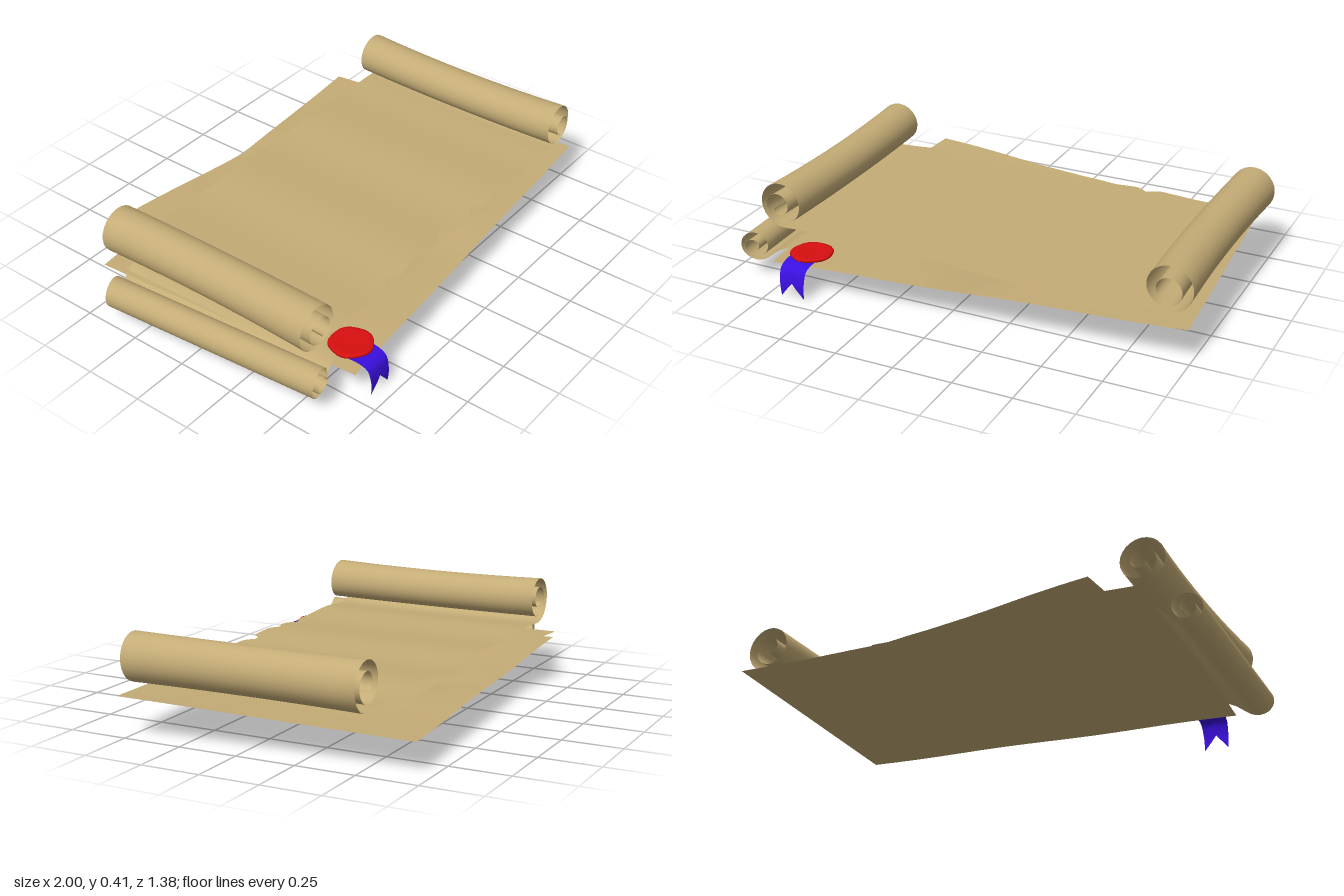
import * as THREE from 'three';

const parchment = new THREE.MeshStandardMaterial({ color: 0xc4ac76, side: THREE.DoubleSide });
parchment.name = 'parchment';
const sealRed = new THREE.MeshStandardMaterial({ color: 0xd80f10 });
sealRed.name = 'sealRed';
const ribbonBlue = new THREE.MeshStandardMaterial({ color: 0x3a0fe0, side: THREE.DoubleSide });
ribbonBlue.name = 'ribbonBlue';

// Smooth surface from a rule: fn(i, j) returns [x, y, z] for column i and row j
function surface(name, cols, rows, fn, material) {
  const pos = [], index = [];
  for (let i = 0; i <= cols; i++) {
    for (let j = 0; j <= rows; j++) pos.push(...fn(i, j));
  }
  for (let i = 0; i < cols; i++) {
    for (let j = 0; j < rows; j++) {
      const a = i * (rows + 1) + j, b = a + rows + 1;
      index.push(a, a + 1, b, b, a + 1, b + 1);
    }
  }
  const geo = new THREE.BufferGeometry();
  geo.setAttribute('position', new THREE.Float32BufferAttribute(pos, 3));
  geo.setIndex(index);
  geo.computeVertexNormals();
  const mesh = new THREE.Mesh(geo, material);
  mesh.name = name;
  return mesh;
}

// Spiral from its outer end inwards; side is -1 for a left roll, 1 for a right one
function spiral(side, cx, cy, rOut, rIn, startAngle, turns, steps) {
  const pts = [];
  for (let k = 0; k <= steps; k++) {
    const t = k / steps;
    const a = startAngle + t * turns * Math.PI * 2;
    const r = rOut - (rOut - rIn) * Math.pow(t, 1.3);
    pts.push({ x: cx + side * r * Math.cos(a), y: cy + r * Math.sin(a), t });
  }
  return pts;
}

// Torn nicks along the edges: [x, depth]
const frontNicks = [[-0.3, 0.035], [-0.15, 0.03], [0.07, 0.05], [0.28, 0.03]];
const backNicks = [[0.2, 0.02], [0.44, 0.035]];
const nick = (list, x) =>
  list.reduce((s, [nx, d]) => s + d * Math.max(0, 1 - Math.abs(x - nx) / 0.045), 0);

// Open scroll with a roll at each end
function topScroll() {
  const left = spiral(-1, -0.775, 0.31, 0.105, 0.02, -Math.PI / 2, 2.2, 54).reverse();
  const right = spiral(1, 0.89, 0.31, 0.105, 0.025, -Math.PI / 2, 2, 50);
  const flat = [];
  for (let k = 1; k < 66; k++) {
    const x = -0.775 + (1.665 * k) / 66;
    const fade = Math.min(1, k / 6, (66 - k) / 6);
    flat.push({ x, y: 0.205 + fade * (0.004 + 0.005 * Math.cos((2 * Math.PI * (x + 0.1)) / 0.535)), t: 0 });
  }
  const path = [...left, ...flat, ...right];
  const rows = 10;
  return surface('topScroll', path.length - 1, rows, (i, j) => {
    const p = path[i], v = j / rows, w = 2 * v - 1;
    const inRoll = p.t > 0 ? 1 : 0;
    const front = 0.5 + 0.04 * p.t - (inRoll ? 0 : nick(frontNicks, p.x));
    const back = -0.5 + (inRoll ? 0 : nick(backNicks, p.x));
    const y = p.y + Math.max(0, p.y - 0.25) * 0.04 * (w * w - 0.5);
    return [p.x * (1 + 0.016 * w * w), y, back + (front - back) * v];
  }, parchment);
}

// Slanted roll at the left, its tail tucked between the loose sheets
function sideRoll() {
  const roll = spiral(-1, 0, 0, 0.07, 0.018, -Math.PI * 0.72, 2, 48).reverse();
  const tail = [[0.09, -0.02], [0.13, -0.002], [0.2, 0], [0.3, 0]].map(([x, y]) => ({ x, y, t: 0 }));
  const path = [...roll, ...tail];
  const rows = 8;
  return surface('sideRoll', path.length - 1, rows, (i, j) => {
    const p = path[i], v = j / rows;
    const drop = 0.028 * (1 - v) * THREE.MathUtils.clamp((0.13 - p.x) / 0.1, 0, 1);
    return [
      -0.93 + 0.055 * v + p.x,
      0.143 - drop + p.y,
      -0.42 + 1.0 * v - 0.25 * p.x + 0.03 * p.t * v,
    ];
  }, parchment);
}

// Loose sheet between four corners (back left, back right, front right, front left) with a sag
function looseSheet(name, [bl, br, fr, fl], sag, ripple) {
  const cols = 16, rows = 10;
  const mix = (a, b, t) => a + (b - a) * t;
  return surface(name, cols, rows, (i, j) => {
    const u = i / cols, v = j / rows;
    const [x, y, z] = [0, 1, 2].map((k) => mix(mix(bl[k], br[k], u), mix(fl[k], fr[k], u), v));
    const dip = sag * Math.max(0, 1 - (Math.abs(x - 0.07) + Math.abs(z) * 0.8) / 0.5);
    const wave = ripple * Math.sin(u * Math.PI * 4) * Math.sin(Math.PI * (0.2 + 0.6 * v));
    return [x, y - dip + wave, z];
  }, parchment);
}

// Wax seal: a low rounded disc with a slightly uneven rim
function waxSeal() {
  const profile = [[0, -0.01], [0.08, -0.01], [0.09, -0.003], [0.086, 0.004], [0.07, 0.007],
    [0.062, 0.003], [0, 0.004]].map(([r, y]) => new THREE.Vector2(r, y));
  const geo = new THREE.LatheGeometry(profile, 32);
  const p = geo.attributes.position;
  for (let i = 0; i < p.count; i++) {
    const a = Math.atan2(p.getZ(i), p.getX(i));
    const k = 1 + 0.025 * Math.sin(a * 5);
    p.setXYZ(i, p.getX(i) * k, p.getY(i), p.getZ(i) * k);
  }
  geo.computeVertexNormals();
  const seal = new THREE.Mesh(geo, sealRed);
  seal.name = 'waxSeal';
  seal.position.set(-0.63, 0.145, 0.545);
  return seal;
}

// Ribbon hanging over the edge, with a swallowtail end
function ribbon() {
  const curve = new THREE.CatmullRomCurve3([
    [0.56, 0.137], [0.64, 0.134], [0.675, 0.118], [0.688, 0.08], [0.692, 0.045], [0.688, 0],
  ].map(([z, y]) => new THREE.Vector3(0, y, z)));
  const cols = 8, rows = 16;
  return surface('ribbon', cols, rows, (i, j) => {
    const u = (2 * i) / cols - 1;
    const s = (j / rows) * (0.73 + 0.27 * Math.abs(u));
    const p = curve.getPoint(curve.getUtoTmapping(s));
    return [-0.64 + u * (0.065 - 0.012 * s), p.y, p.z];
  }, ribbonBlue);
}

export function createModel() {
  const group = new THREE.Group();
  group.name = 'parchmentScrolls';
  group.add(
    topScroll(),
    sideRoll(),
    looseSheet('middleSheet', [
      [-0.63, 0.21, -0.64], [0.84, 0.175, -0.47], [0.75, 0.172, 0.55], [-0.73, 0.18, 0.38],
    ], 0.025, 0.005),
    looseSheet('bottomSheet', [
      [-0.85, 0.13, -0.55], [0.895, 0.122, -0.69], [1.0, 0.165, 0.53], [-0.75, 0.125, 0.655],
    ], 0.065, 0.004),
    waxSeal(),
    ribbon(),
  );
  return group;
}
